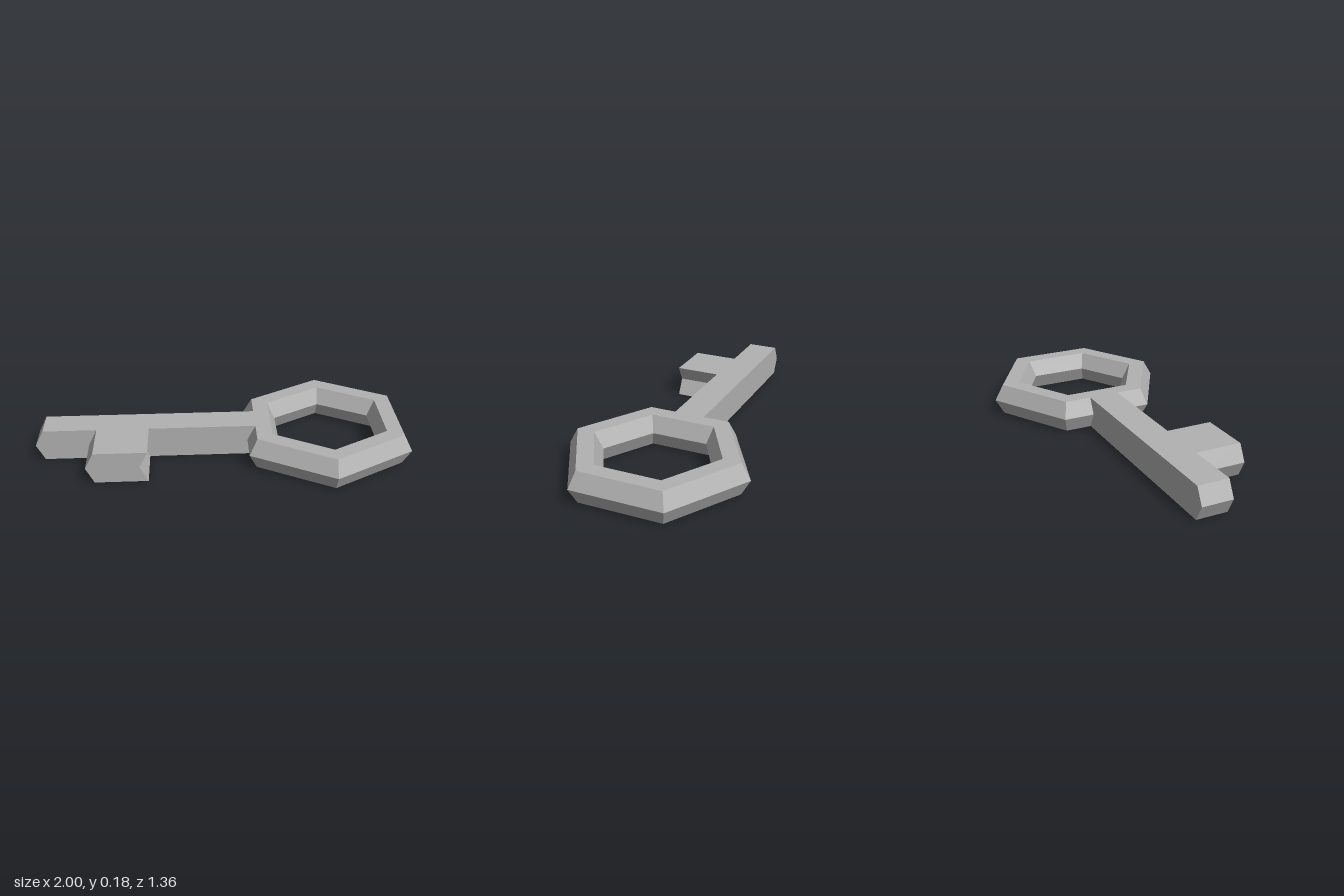
import * as THREE from 'three';

const H = 0.18;      // thickness of the key
const BEVEL = 0.046; // how far the mid-height ridge is pushed out

const grey = new THREE.MeshStandardMaterial({ color: 0xb2b2b2 });
grey.name = 'grey metal';

function addMesh(parent, name, geometry) {
  const flat = geometry.index ? geometry.toNonIndexed() : geometry;
  flat.computeVertexNormals();
  const mesh = new THREE.Mesh(flat, grey);
  mesh.name = name;
  parent.add(mesh);
}

// Bar along x whose two ends are chevrons: pointed at the far end, notched at the near end
function chevronBar(x0, x1, z0, z1) {
  const shape = new THREE.Shape([
    [x0, 0], [x1, 0], [x1 + BEVEL, H / 2], [x1, H], [x0, H], [x0 + BEVEL, H / 2],
  ].map(([x, y]) => new THREE.Vector2(x, y)));
  return new THREE.ExtrudeGeometry(shape, { depth: z1 - z0, bevelEnabled: false }).translate(0, 0, z0);
}

export function createModel() {
  const model = new THREE.Group();
  model.name = 'key';

  // Hexagonal handle ring with ridged outer and inner walls
  const profile = [
    [0.474, 0], [0.525, H / 2], [0.474, H], [0.371, H], [0.32, H / 2], [0.371, 0], [0.474, 0],
  ].map(([r, y]) => new THREE.Vector2(r, y));
  const ring = new THREE.Group();
  ring.position.set(0.475, 0, 0.22);
  model.add(ring);
  addMesh(ring, 'handleRing', new THREE.LatheGeometry(profile, 6, Math.PI / 2));

  // Blade: shaft and single tooth, running out from one flat of the ring
  const blade = new THREE.Group();
  blade.name = 'blade';
  blade.rotation.y = Math.PI * 5 / 6;
  ring.add(blade);
  ring.name = 'keyBody';
  addMesh(blade, 'shaft', chevronBar(0.41, 1.605, -0.087, 0.087));
  addMesh(blade, 'tooth', chevronBar(1.012, 1.305, -0.347, -0.087));

  return model;
}
